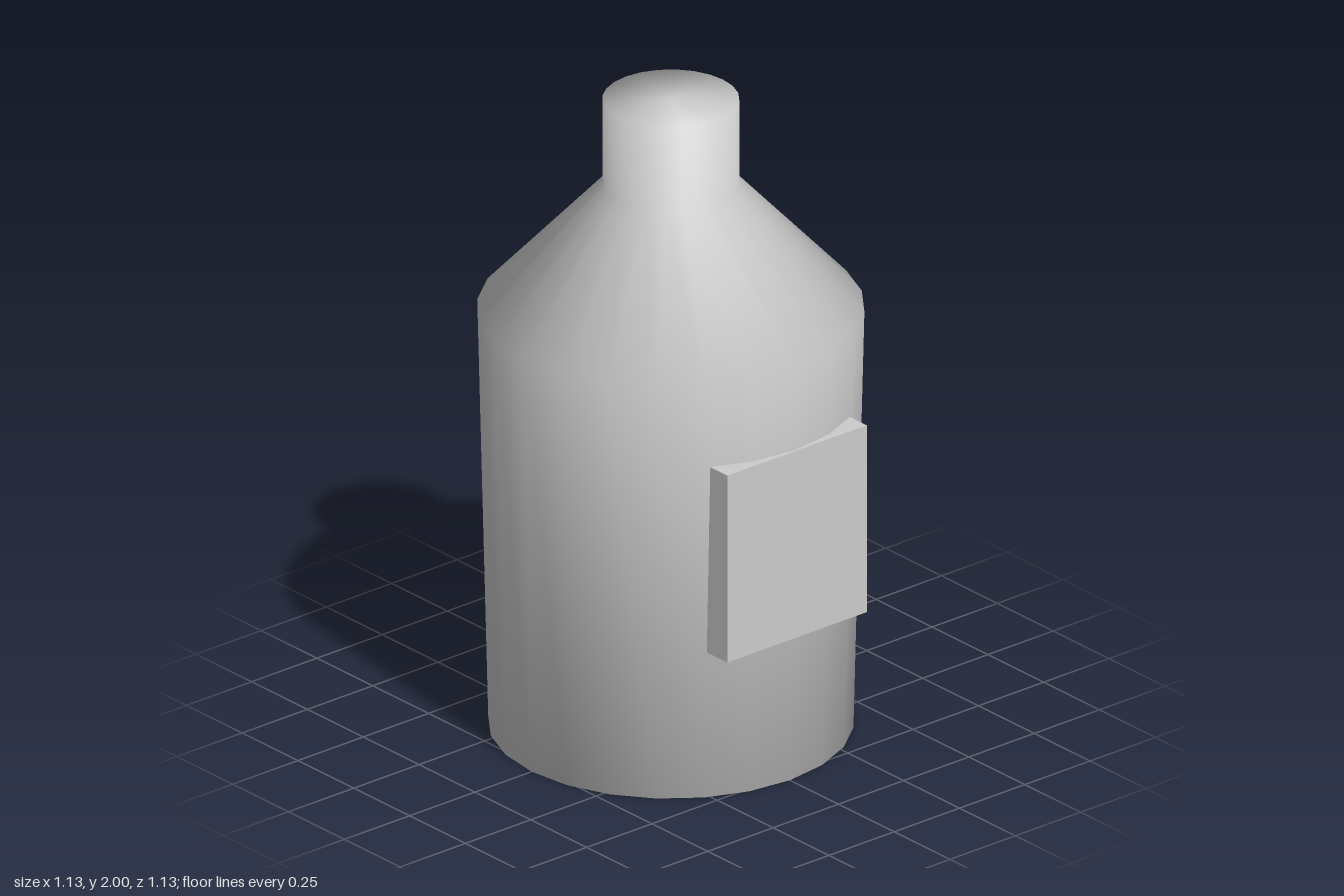
import * as THREE from 'three';

export function createModel() {
  const group = new THREE.Group();
  const grey = new THREE.MeshStandardMaterial({ color: 0xcccccc });
  grey.name = 'light grey';

  // Closed bottle: base, slightly flared wall, sloping shoulder, neck, flat top
  const profile = [
    [0, 0], [0.533, 0], [0.565, 1.335], [0.2, 1.73], [0.2, 2], [0, 2],
  ].map(([r, y]) => new THREE.Vector2(r, y));
  const bottle = new THREE.Mesh(new THREE.LatheGeometry(profile, 24), grey);
  bottle.name = 'bottle';
  group.add(bottle);

  // Flat label block set into the front wall
  const label = new THREE.Mesh(new THREE.BoxGeometry(0.534, 0.6, 0.105), grey);
  label.name = 'label';
  label.position.set(0, 0.77, 0.5125);
  group.add(label);

  return group;
}
